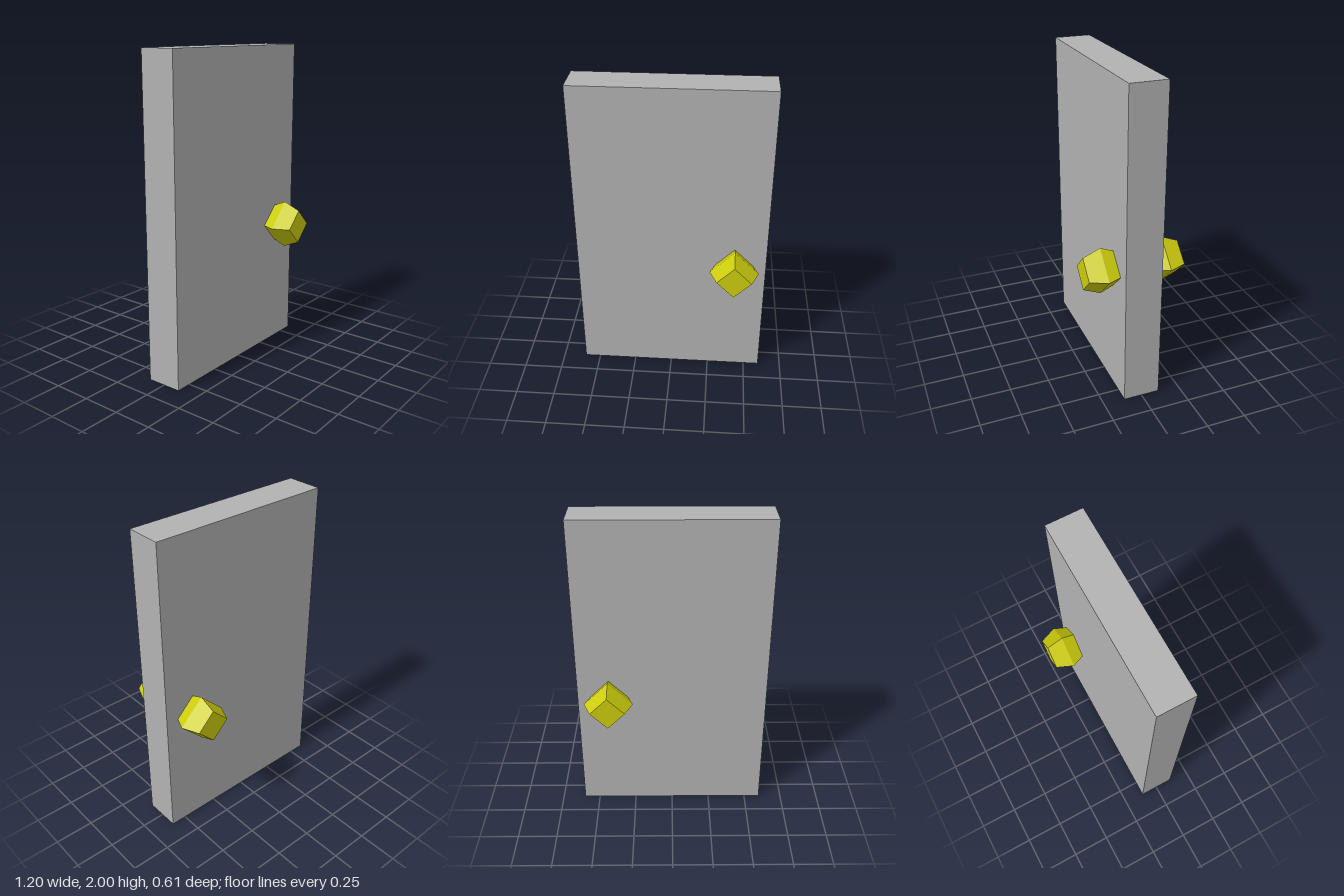
import * as THREE from 'three';

export function createModel() {
  const model = new THREE.Group();
  model.name = 'door';

  const grey = new THREE.MeshStandardMaterial({ name: 'grey panel', color: 0xb2b2b2 });
  const yellow = new THREE.MeshStandardMaterial({ name: 'yellow knob', color: 0xcccc0d, flatShading: true });

  // Plain slab
  const panel = new THREE.Mesh(new THREE.BoxGeometry(1.2, 2, 0.23), grey);
  panel.name = 'panel';
  panel.position.y = 1;
  model.add(panel);

  // Four-sided knob, widest at its middle, turned to point along z
  const profile = [[0, -0.108], [0.108, -0.108], [0.153, 0], [0.108, 0.108], [0, 0.108]]
    .map(([r, y]) => new THREE.Vector2(r, y));
  const knobGeometry = new THREE.LatheGeometry(profile, 4).rotateX(Math.PI / 2);

  // One knob on each side of the slab
  for (const [name, side] of [['frontKnob', 1], ['backKnob', -1]]) {
    const knob = new THREE.Mesh(knobGeometry, yellow);
    knob.name = name;
    knob.position.set(0.4, 0.828, side * 0.197);
    model.add(knob);
  }

  return model;
}
